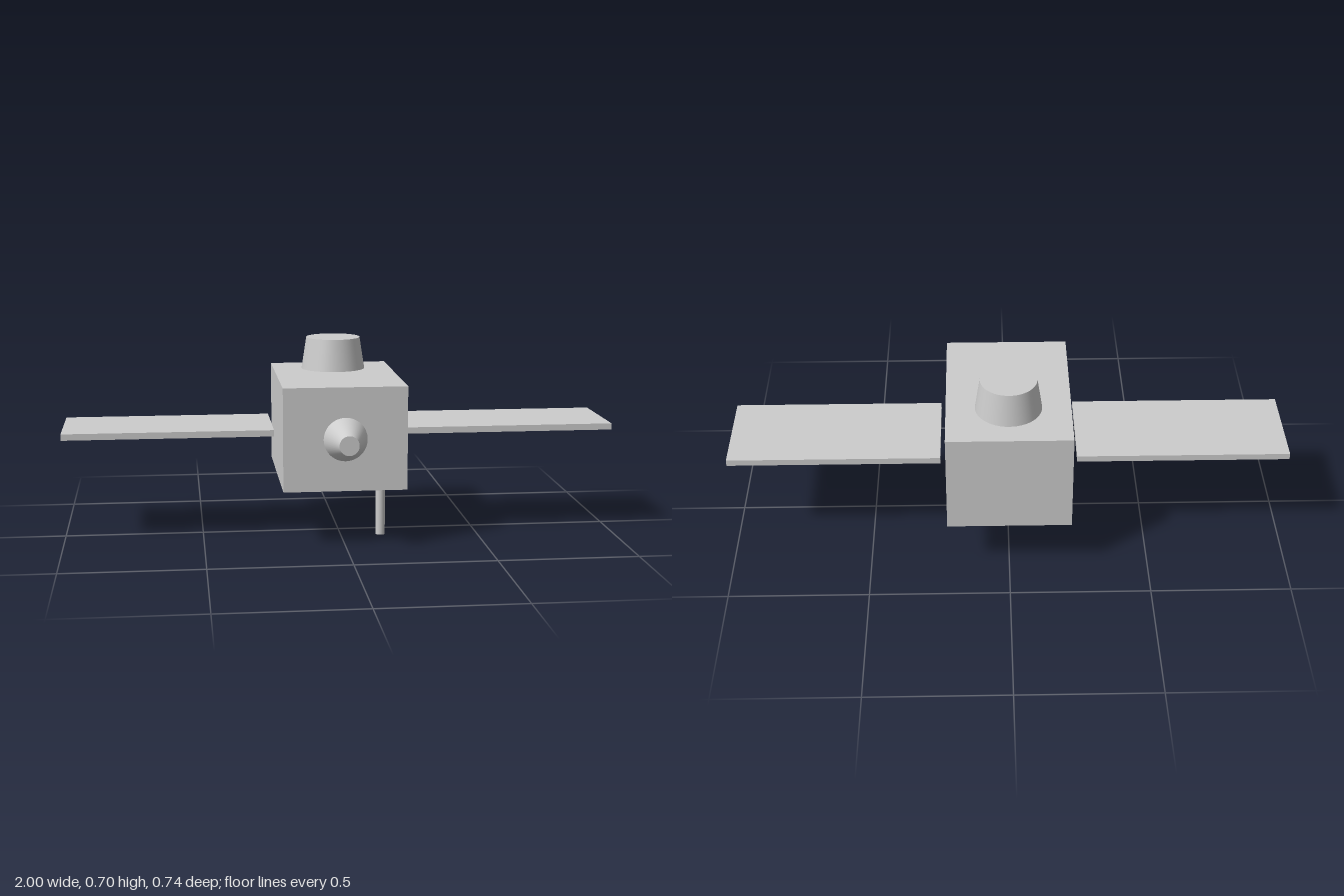
import * as THREE from 'three';

export function createModel() {
  const group = new THREE.Group();
  const material = new THREE.MeshStandardMaterial({ color: 0xcccccc });

  const add = (name, geometry, x, y, z) => {
    const mesh = new THREE.Mesh(geometry, material);
    mesh.name = name;
    mesh.position.set(x, y, z);
    group.add(mesh);
    return mesh;
  };

  // Main box body
  add('body', new THREE.BoxGeometry(0.442, 0.372, 0.622), 0, 0.387, -0.059);

  // Flat solar panels, standing just clear of the body sides
  for (const [name, side] of [['leftPanel', 1], ['rightPanel', -1]]) {
    add(name, new THREE.BoxGeometry(0.757, 0.023, 0.34), side * 0.6215, 0.3875, -0.06);
  }

  // Tapered drum floating slightly above the roof
  add('topDrum', new THREE.CylinderGeometry(0.1, 0.118, 0.117, 48), 0, 0.6385, -0.178);

  // Nozzle narrowing toward the front
  const nozzle = add('frontNozzle', new THREE.CylinderGeometry(0.035, 0.078, 0.119, 48), 0, 0.387, 0.3115);
  nozzle.rotation.x = Math.PI / 2;

  // Thin antenna rod below the body
  add('antenna', new THREE.CylinderGeometry(0.017, 0.017, 0.202, 32), 0.146, 0.101, 0.09);

  return group;
}
